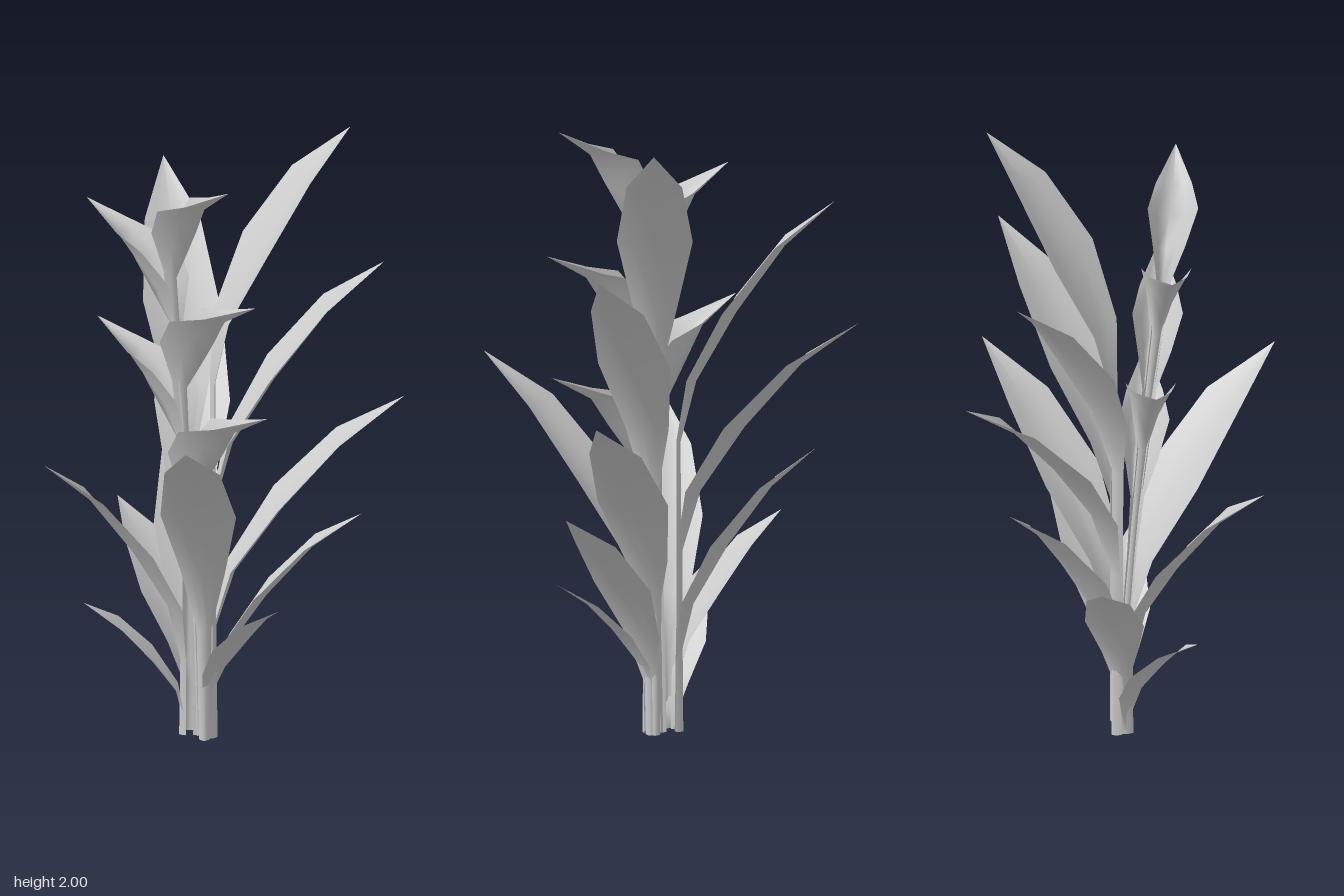
import * as THREE from 'three';

const material = new THREE.MeshStandardMaterial({ color: 0xcccccc, side: THREE.DoubleSide });

// Cross-section of a blade: [sideways factor, how far from edge to spine]
const SECTION = [[-1, 0], [-0.55, 0.6], [0, 1], [0.55, 0.6], [1, 0]];

// Sweeps a folded strip through stations { half, edge: [r, y], spine: [r, y] },
// where r runs outward from (x0, z0) along the given angle; lean bends it forward with height.
function blade(name, x0, z0, angle, stations, lean = 0) {
  const positions = [], indices = [], n = SECTION.length;
  const c = Math.cos(angle), s = Math.sin(angle);
  stations.forEach(({ half, edge, spine }, row) => {
    SECTION.forEach(([side, k], col) => {
      const r = THREE.MathUtils.lerp(edge[0], spine[0], k);
      const y = Math.max(0, THREE.MathUtils.lerp(edge[1], spine[1], k));
      const w = side * half;
      positions.push(x0 + r * c - w * s, y, z0 + r * s + w * c + lean * y ** 1.5);
      if (row && col) {
        const d = row * n + col;
        indices.push(d - n - 1, d - 1, d, d - n - 1, d, d - n);
      }
    });
  });
  const geometry = new THREE.BufferGeometry();
  geometry.setAttribute('position', new THREE.Float32BufferAttribute(positions, 3));
  geometry.setIndex(indices);
  geometry.computeVertexNormals();
  const mesh = new THREE.Mesh(geometry, material);
  mesh.name = name;
  return mesh;
}

// Long arching leaf with a channelled stalk reaching the ground
function leaf(tipX, tipY, tipZ, size) {
  const x0 = -0.028 + 0.015 * Math.sign(tipX), z0 = -0.045 * tipZ;
  const reach = Math.hypot(tipX - x0, tipZ - z0);
  const foot = 0.018 + 0.07 * Math.abs(tipZ);
  // [fraction of reach, drop below tip, half width, fold depth]
  const profile = [
    [0.06, 0.80, 0.024, 0.012],
    [0.155, 0.59, 0.072, 0.025],
    [0.38, 0.355, 0.12, 0.032],
    [0.68, 0.14, 0.088, 0.02],
    [1.00, 0.00, 0.001, 0],
  ];
  const stations = [{ half: 0.017, edge: [foot, 0], spine: [foot + 0.016, 0] }];
  for (const [f, drop, half, fold] of profile) {
    const r = Math.max(foot + 0.002, f * reach), y = Math.max(0.05, tipY - drop * size);
    stations.push({
      half: half * (0.4 + 0.6 * size),
      edge: [r, y],
      spine: [r + fold * 0.75 * size, y - fold * 0.65 * size],
    });
  }
  return blade('leaf', x0, z0, Math.atan2(tipZ - z0, tipX - x0), stations);
}

// Cupped bract with a flared tip, alternating left and right on a curved stalk
function bract(tipX, tipY) {
  const x0 = -0.025;
  const reach = Math.abs(tipX - x0) / 0.34;
  // [edge r, edge drop, spine r, spine drop, half width]
  const profile = [
    [-0.015, 0.34, 0.025, 0.36, 0.022],
    [-0.028, 0.20, 0.09, 0.265, 0.052],
    [0.045, 0.1, 0.15, 0.175, 0.08],
    [0.17, 0.066, 0.205, 0.084, 0.058],
    [0.34, 0, 0.34, 0, 0.001],
  ];
  // Stalk below the cup, in equal steps so that it can bend
  const stations = [0, 0.25, 0.5, 0.75].map((t) => {
    const y = t * (tipY - 0.36);
    return { half: 0.014, edge: [-0.01, y], spine: [0.012, y] };
  });
  for (const [er, ed, sr, sd, half] of profile) {
    stations.push({ half, edge: [er * reach, tipY - ed], spine: [sr * reach, tipY - sd] });
  }
  return blade('bract', x0, 0, tipX > 0 ? 0 : Math.PI, stations, 0.065);
}

export function createModel() {
  const plant = new THREE.Group();
  plant.name = 'plant';

  // Leaves: tip x, y, z and size
  const leaves = new THREE.Group();
  leaves.name = 'leaves';
  [
    [0.245, 2.0, -0.42, 1],
    [-0.46, 1.75, -0.34, 1],
    [0.42, 1.6, -0.38, 1],
    [-0.46, 1.39, -0.5, 1],
    [0.46, 1.14, -0.43, 0.95],
    [-0.38, 0.96, -0.36, 0.9],
    [0.455, 0.8, -0.23, 0.8],
    [-0.42, 0.69, -0.07, 0.65],
    [0.335, 0.515, 0.03, 0.48],
    [-0.3, 0.445, 0.235, 0.5],
    [0.34, 1.18, 0.49, 1],
    [-0.285, 0.975, 0.445, 0.9],
  ].forEach((l) => leaves.add(leaf(...l)));

  // Flower spike: tip x and y of each bract
  const spike = new THREE.Group();
  spike.name = 'flowerSpike';
  [
    [0.25, 1.95],
    [-0.355, 1.78],
    [0.32, 1.565],
    [-0.355, 1.365],
    [0.33, 1.18],
  ].forEach((b) => spike.add(bract(...b)));

  plant.add(leaves, spike);
  return plant;
}
